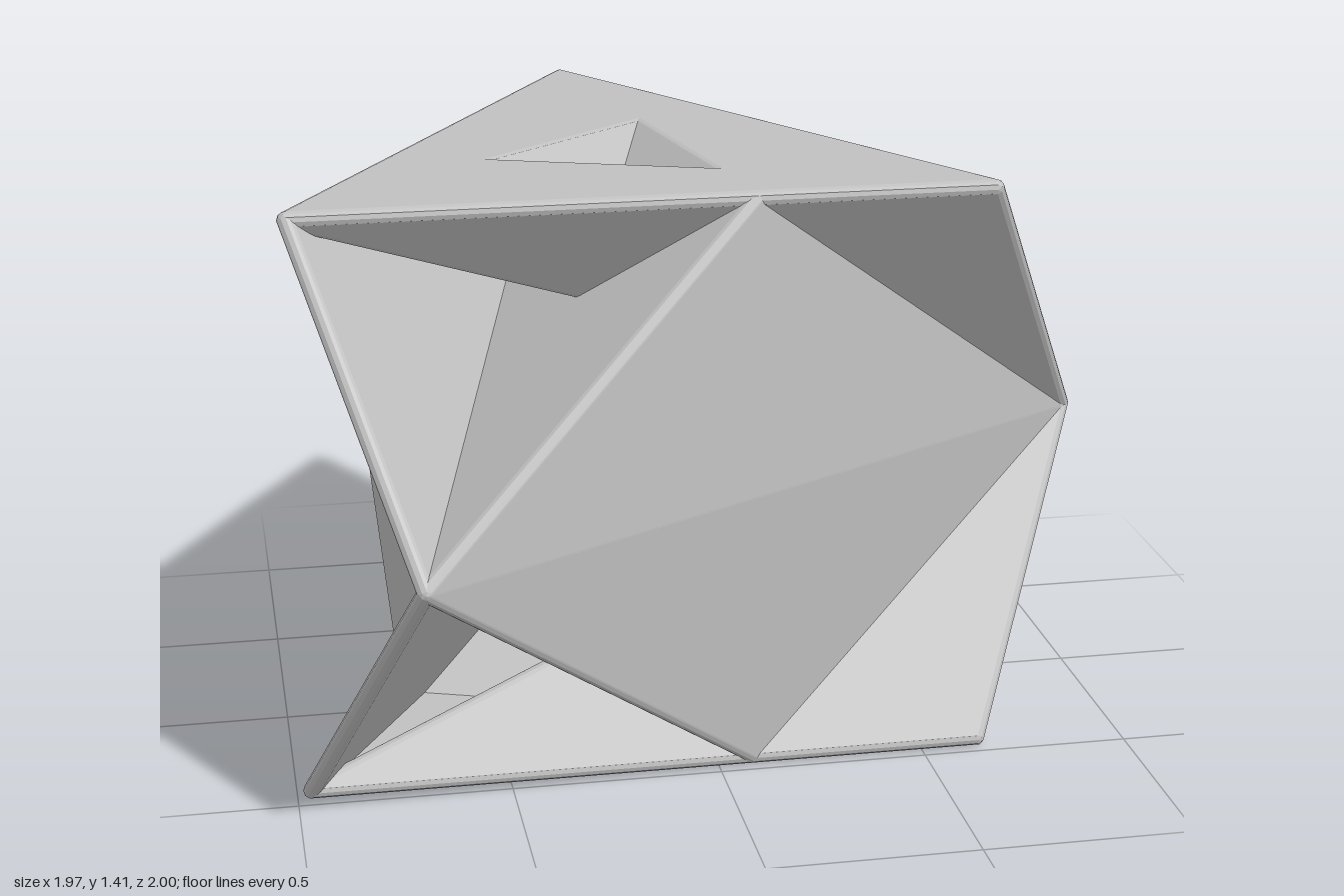
import * as THREE from 'three';
import { ConvexGeometry } from 'three/addons/geometries/ConvexGeometry.js';

const R = 0.02;        // half thickness of the rounded plates
const MID = 0.705;     // height of the mirror plane
const RISE = 0.685;    // from the mirror plane to the cap plates
const AXIS_X = -0.165; // threefold axis

// Point given by radius and angle (degrees from +x towards +z) around the axis
function polar(radius, degrees, y) {
  const a = THREE.MathUtils.degToRad(degrees);
  return new THREE.Vector3(AXIS_X + radius * Math.cos(a), MID + y, radius * Math.sin(a));
}

// Thin triangular plate with rounded rim: hull of a small ball at each corner
const ball = new THREE.IcosahedronGeometry(R, 1).getAttribute('position');
function plate(corners, material, name) {
  const normal = new THREE.Triangle(...corners).getNormal(new THREE.Vector3());
  const points = [];
  for (const c of corners) {
    for (let i = 0; i < ball.count; i++) {
      const p = new THREE.Vector3().fromBufferAttribute(ball, i);
      // keep the ball points just inside the two flat faces
      if (Math.abs(p.dot(normal)) < R * 0.985) points.push(p.add(c));
    }
    points.push(c.clone().addScaledVector(normal, R), c.clone().addScaledVector(normal, -R));
  }
  const mesh = new THREE.Mesh(new ConvexGeometry(points), material);
  mesh.name = name;
  return mesh;
}

export function createModel() {
  const group = new THREE.Group();
  group.name = 'starPolyhedron';
  const grey = new THREE.MeshStandardMaterial({ color: 0xc0c0c0 });
  grey.name = 'light grey';

  const tipRadius = 0.926, waistRadius = 1.132;
  const joinRadius = Math.hypot(0.25, 0.463);
  const joinAngle = THREE.MathUtils.radToDeg(Math.atan2(0.463, 0.25));

  for (const side of [1, -1]) {
    const half = new THREE.Group();
    half.name = side > 0 ? 'upperHalf' : 'lowerHalf';
    for (let k = 0; k < 3; k++) {
      const turn = 120 * k;
      const tip = (a) => polar(tipRadius, a + turn, RISE * side);
      const waist = (a) => polar(waistRadius, a + turn, 0);
      const join = (a) => polar(joinRadius, joinAngle + a + turn, RISE * side);

      // flat cap; three of these leave the central triangular dent
      half.add(plate([tip(150), tip(270), join(-120)], grey, 'capPlate'));
      // sloping fin from a cap edge down to a waist corner
      half.add(plate([tip(150), tip(30), waist(0)], grey, 'finPlate'));
      // inner wall of the recess and of the dent
      half.add(plate([waist(0), tip(150), join(-120)], grey, 'innerWall'));
      // half of a large diamond side
      half.add(plate([waist(0), waist(120), join(0)], grey, 'sidePlate'));
    }
    group.add(half);
  }
  return group;
}
